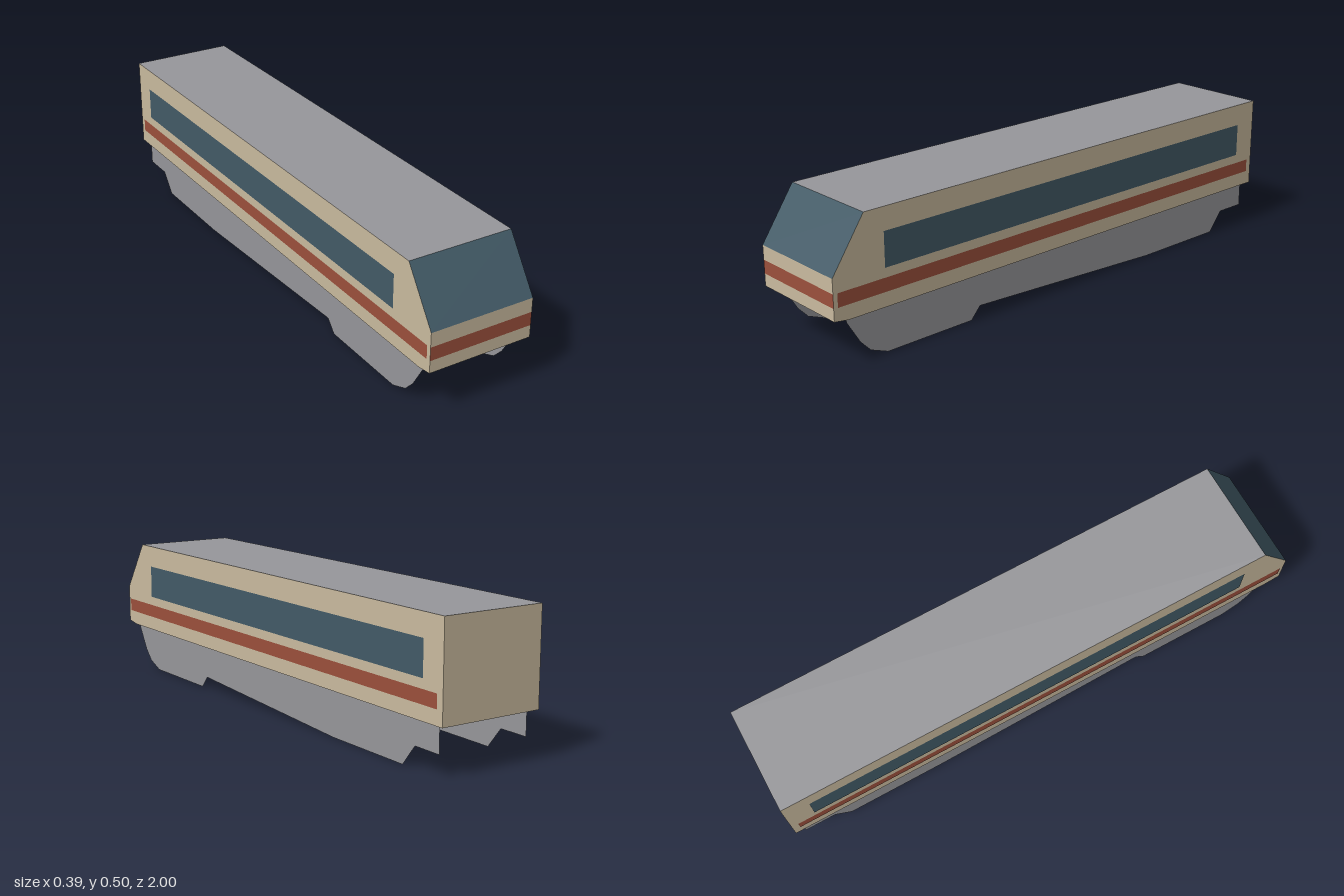
import * as THREE from 'three';

const HALF = 0.193; // half width of the body

const paint = (name, color, side = THREE.FrontSide) => {
  const m = new THREE.MeshStandardMaterial({ color, side });
  m.name = name;
  return m;
};

export function createModel() {
  const cream = paint('cream', 0xcabb9f);
  const red = paint('red', 0x9c503c);
  const glass = paint('blueGlass', 0x435b67);
  const grey = paint('grey', 0x97979b, THREE.DoubleSide);

  const model = new THREE.Group();
  model.name = 'railCar';
  const add = (name, geometry, material) => {
    const mesh = new THREE.Mesh(geometry, material);
    mesh.name = name;
    model.add(mesh);
    return mesh;
  };

  // Body outline as [z, y], with the panel that runs from each point to the next
  const outline = [
    [0.945, 0.165, 'frontChin', cream],
    [1, 0.173, 'lowerNose', cream],
    [1, 0.217, 'noseStripe', red],
    [1, 0.265, 'upperNose', cream],
    [1, 0.316, 'windscreen', glass],
    [0.875, 0.5, 'roof', grey],
    [-1, 0.5, 'rearWall', cream],
    [-1, 0.165, 'floor', cream],
  ];
  outline.forEach(([z, y, name, material], i) => {
    const [z2, y2] = outline[(i + 1) % outline.length];
    const panel = new THREE.PlaneGeometry(2 * HALF, Math.hypot(z2 - z, y2 - y));
    panel.rotateX(Math.atan2(z2 - z, y2 - y));
    panel.translate(0, (y + y2) / 2, (z + z2) / 2);
    add(name, panel, material);
  });

  // Flat side piece cut from [z, y] points, facing outwards at x
  const sidePiece = (name, points, x, material) => {
    const s = Math.sign(x);
    const shape = new THREE.Shape(points.map(([z, y]) => new THREE.Vector2(-s * z, y)));
    const geometry = new THREE.ShapeGeometry(shape);
    geometry.rotateY(s * Math.PI / 2);
    geometry.translate(x, 0, 0);
    add(name, geometry, material);
  };
  const rect = (z1, z2, y1, y2) => [[z1, y1], [z2, y1], [z2, y2], [z1, y2]];

  // Lower skirt outline
  const skirt = [
    [0.948, 0.166], [0.943, 0.147], [0.895, 0.067], [0.857, 0.027], [0.79, 0],
    [0.44, 0], [0.402, 0.043], [-0.425, 0], [-0.793, 0], [-0.852, 0.073],
    [-0.967, 0.073], [-0.967, 0.166],
  ];

  // Side walls, windows, stripes and skirts, mirrored
  for (const [label, s] of [['left', 1], ['right', -1]]) {
    sidePiece(label + 'Wall', outline, s * HALF, cream);
    sidePiece(label + 'Window', rect(0.803, -0.908, 0.298, 0.42), s * (HALF + 0.0015), glass);
    sidePiece(label + 'Stripe', rect(0.985, -0.975, 0.217, 0.265), s * (HALF + 0.0015), red);
    sidePiece(label + 'Skirt', skirt, s * 0.175, grey);
  }
  return model;
}
